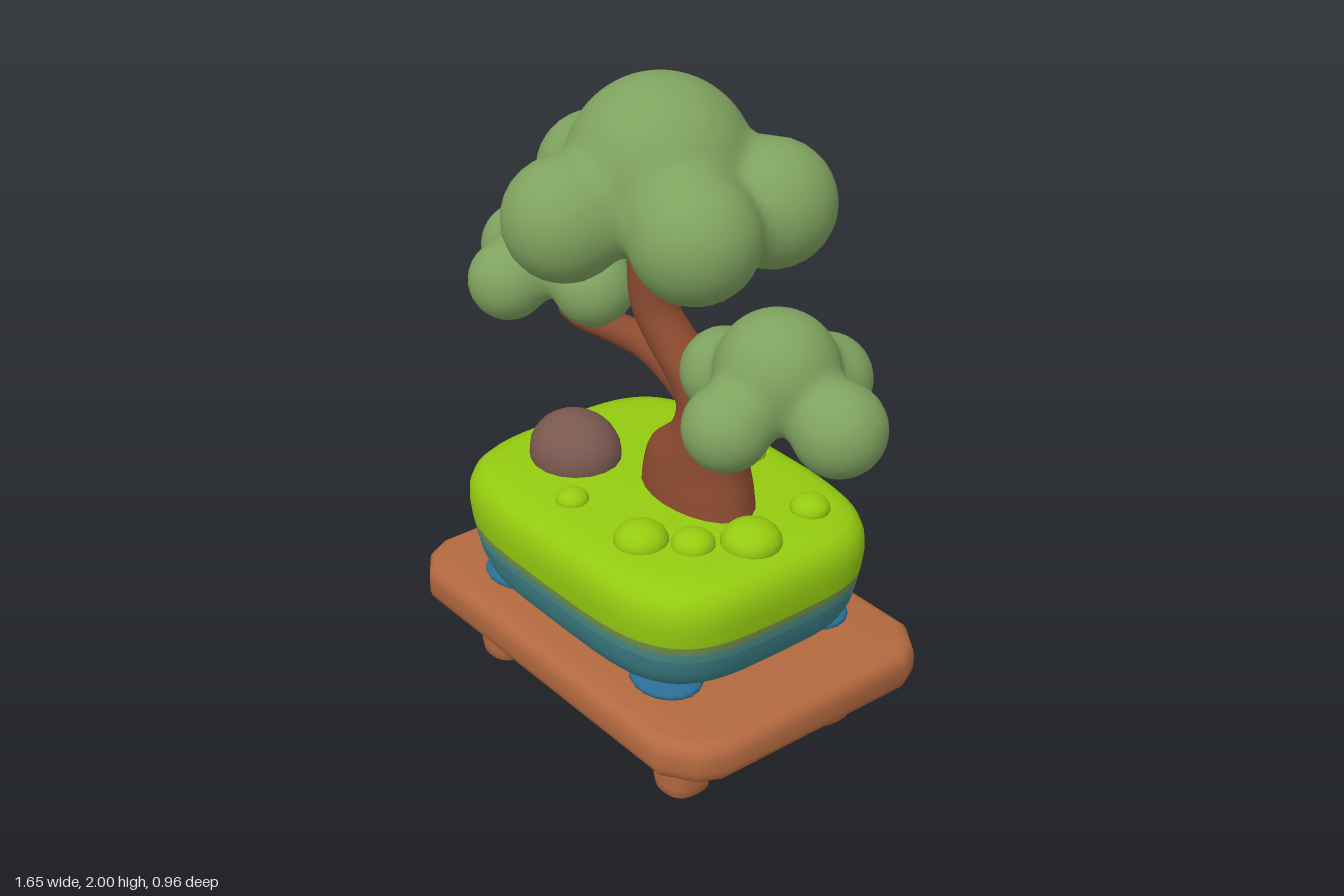
import * as THREE from 'three';
import { mergeVertices, toCreasedNormals } from 'three/addons/utils/BufferGeometryUtils.js';

const mat = (name, color) => {
  const m = new THREE.MeshStandardMaterial({ color });
  m.name = name;
  return m;
};

// Skin over rings [x, y, z, radiusU, radiusV]; rings lie flat, or upright when axis is 'x'.
// power > 2 squares the cross-section off. One material group per band between rings.
function loft(rings, { axis = 'y', power = 2, seg = 24 } = {}) {
  const pos = [], index = [];
  const geo = new THREE.BufferGeometry();
  const sq = (v) => Math.sign(v) * Math.abs(v) ** (2 / power);
  rings.forEach(([x, y, z, ru, rv], i) => {
    for (let j = 0; j < seg; j++) {
      const a = (j / seg) * Math.PI * 2;
      const u = ru * sq(Math.cos(a)), v = rv * sq(Math.sin(a));
      if (axis === 'y') pos.push(x + u, y, z + v);
      else pos.push(x, y + v, z + u);
      if (i < rings.length - 1) {
        const A = i * seg + j, B = i * seg + ((j + 1) % seg);
        index.push(A, A + seg, B, B, A + seg, B + seg);
      }
    }
  });
  geo.setAttribute('position', new THREE.Float32BufferAttribute(pos, 3));
  geo.setIndex(index);
  geo.computeVertexNormals();
  return geo;
}

// Adds smooth in-between rings
function smoothRings(rings, n) {
  const V = THREE.Vector3;
  const mid = new THREE.CatmullRomCurve3(rings.map((r) => new V(r[0], r[1], r[2])));
  const rad = new THREE.CatmullRomCurve3(rings.map((r) => new V(r[3], r[4], 0)));
  return Array.from({ length: n + 1 }, (_, i) => {
    const p = mid.getPoint(i / n), r = rad.getPoint(i / n);
    return [p.x, p.y, p.z, Math.max(r.x, 0), Math.max(r.y, 0)];
  });
}

// Softly blended ball cluster: a sphere shrunk onto the smooth union of lobes [x, y, z, r]
function foliageGeometry(centre, lobes) {
  const c = new THREE.Vector3(...centre), k = 0.05;
  const balls = lobes.map(([x, y, z, r]) => ({ p: new THREE.Vector3(x, y, z), r }));
  const field = (p) => balls.reduce((d, b) => {
    const e = p.distanceTo(b.p) - b.r;
    const h = Math.max(k - Math.abs(d - e), 0) / k;
    return Math.min(d, e) - (h * h * k) / 4;
  }, 10);
  let geo = new THREE.IcosahedronGeometry(1, 14);
  geo.deleteAttribute('uv');
  geo.deleteAttribute('normal');
  geo = mergeVertices(geo, 1e-4);
  const pos = geo.attributes.position, dir = new THREE.Vector3(), p = new THREE.Vector3();
  for (let i = 0; i < pos.count; i++) {
    dir.fromBufferAttribute(pos, i).normalize();
    let t = 1;
    for (let s = 0; s < 80; s++) {
      const d = field(p.copy(c).addScaledVector(dir, t));
      if (d < 0.0005 || t < 0.03) break;
      t -= d;
    }
    pos.setXYZ(i, p.x, p.y, p.z);
  }
  geo.computeVertexNormals();
  return geo;
}

export function createModel() {
  const model = new THREE.Group();
  model.name = 'bonsai';
  const leaf = mat('leafGreen', 0x7fa35f);
  const bark = mat('bark', 0x8c4a30);
  const wood = mat('tableWood', 0xb3693f);
  const stone = mat('stone', 0x7a5850);
  const grass = mat('grass', 0x94cb10);
  const olive = mat('oliveBand', 0x73904f);
  const lightTeal = mat('lightTealBand', 0x4b8d88);
  const teal = mat('teal', 0x3c8087);
  const blue = mat('blue', 0x2b6c94);
  const add = (name, geo, material, parent = model) => {
    const m = new THREE.Mesh(geo, material);
    m.name = name;
    parent.add(m);
    return m;
  };
  const blob = (name, material, x, y, z, rx, ry, rz) => {
    const m = add(name, new THREE.SphereGeometry(1, 18, 12), material);
    m.position.set(x, y, z);
    m.scale.set(rx, ry, rz);
  };

  // Table top with cut corners and rounded edges
  const b = 0.045, hx = 0.7 - b, hz = 0.48 - b, cut = 0.1;
  const outline = new THREE.Shape([
    [hx - cut, -hz], [hx - 0.025, -hz + 0.05], [hx, -hz + cut],
    [hx, hz - cut], [hx - 0.025, hz - 0.05], [hx - cut, hz],
    [-hx + cut, hz], [-hx + 0.025, hz - 0.05], [-hx, hz - cut],
    [-hx, -hz + cut], [-hx + 0.025, -hz + 0.05], [-hx + cut, -hz],
  ].map(([x, y]) => new THREE.Vector2(x, y)));
  const slab = new THREE.ExtrudeGeometry(outline, {
    depth: 0.13 - 2 * b, bevelEnabled: true, bevelSize: b, bevelThickness: b, bevelSegments: 4,
  });
  slab.rotateX(-Math.PI / 2);
  slab.translate(-0.01, 0.2 + b, -0.01);
  add('tableTop', toCreasedNormals(slab, 0.7), wood);

  // Four stubby legs, the back pair thicker
  for (const [x, z, r] of [[-0.45, 0.27, 0.083], [0.425, 0.27, 0.083], [-0.45, -0.28, 0.1], [0.41, -0.28, 0.1]]) {
    add('tableLeg', loft([
      [x, 0.004, z, 0, 0], [x, 0.004, z, r * 0.7, r * 0.7], [x, 0.015, z, r * 0.86, r * 0.86],
      [x, 0.045, z, r * 0.92, r * 0.92], [x, 0.22, z, r, r],
    ], { power: 2.6, seg: 20 }), wood);
  }

  // Planter: one squared body with painted bands and a grass top
  const profile = [
    [0.345, 0, 0, blue], [0.345, 0.43, 0.34, blue], [0.365, 0.485, 0.38, blue], [0.395, 0.525, 0.405, teal],
    [0.44, 0.548, 0.422, teal], [0.49, 0.56, 0.432, lightTeal], [0.52, 0.565, 0.437, olive],
    [0.545, 0.569, 0.441, grass], [0.6, 0.575, 0.447, grass], [0.645, 0.573, 0.445, grass],
    [0.68, 0.56, 0.433, grass], [0.705, 0.535, 0.41, grass], [0.717, 0.495, 0.375, grass],
    [0.722, 0.43, 0.32, grass], [0.73, 0.22, 0.17, grass], [0.735, 0, 0, grass],
  ];
  const seg = 56;
  const pot = loft(profile.map(([y, rx, rz]) => [-0.012, y, -0.01, rx, rz]), { power: 3.8, seg });
  const potMats = [blue, teal, lightTeal, olive, grass];
  profile.slice(0, -1).forEach((row, i) => pot.addGroup(i * seg * 6, seg * 6, potMats.indexOf(row[3])));
  add('planter', pot, potMats);
  for (const sx of [-1, 1]) for (const sz of [-1, 1]) {
    blob('planterFoot', blue, sx * 0.36 - 0.01, 0.35, sz * 0.28 - 0.01, 0.12, 0.03, 0.1);
  }

  // Rock and moss mounds
  blob('rock', stone, -0.3, 0.745, 0.1, 0.15, 0.125, 0.135);
  for (const [x, z, r] of [[0.2, 0.24, 0.08], [0.4, 0, 0.09], [0.31, 0.14, 0.065], [0.37, -0.25, 0.06],
    [-0.08, -0.28, 0.065], [0.02, -0.32, 0.05], [-0.1, 0.26, 0.05]]) {
    blob('moss', grass, x, 0.725, z, r, r * 0.7, r);
  }

  // Leaning trunk with a flared foot
  add('trunk', loft(smoothRings([
    [0.095, 0.7, -0.055, 0.215, 0.135], [0.095, 0.78, -0.055, 0.205, 0.128], [0.105, 0.86, -0.052, 0.185, 0.115],
    [0.155, 0.95, -0.05, 0.137, 0.1], [0.165, 1.04, -0.045, 0.118, 0.09], [0.12, 1.12, -0.035, 0.118, 0.085],
    [0.03, 1.21, -0.015, 0.095, 0.075], [-0.025, 1.31, 0.01, 0.073, 0.067], [-0.03, 1.42, 0.025, 0.067, 0.062],
    [-0.02, 1.58, 0.03, 0.062, 0.058],
  ], 40)), bark);

  // Side branches
  add('rightBranch', loft(smoothRings([
    [-0.47, 1.14, 0, 0, 0], [-0.46, 1.14, 0, 0.035, 0.035], [-0.38, 1.138, 0, 0.044, 0.042],
    [-0.22, 1.15, -0.01, 0.048, 0.047], [-0.08, 1.15, -0.02, 0.055, 0.053], [0.04, 1.11, -0.035, 0.065, 0.075],
    [0.14, 1.05, -0.045, 0.075, 0.09],
  ], 30), { axis: 'x' }), bark);
  add('leftBranch', loft(smoothRings([
    [0.15, 0.95, -0.045, 0.075, 0.11], [0.24, 0.99, -0.04, 0.065, 0.085], [0.32, 1.035, -0.035, 0.052, 0.056],
    [0.42, 1.09, -0.025, 0.045, 0.048], [0.5, 1.14, -0.02, 0.038, 0.04], [0.51, 1.145, -0.02, 0, 0],
  ], 24), { axis: 'x' }), bark);

  // Foliage clusters
  add('topFoliage', foliageGeometry([0, 1.67, 0], [
    [0, 1.735, 0.01, 0.265], [-0.265, 1.65, 0.03, 0.172], [-0.05, 1.645, 0.3, 0.175], [0.26, 1.64, 0.1, 0.183],
    [0.225, 1.65, -0.2, 0.183], [-0.13, 1.65, -0.21, 0.187],
  ]), leaf);
  add('rightFoliage', foliageGeometry([-0.5, 1.28, 0], [
    [-0.5, 1.345, 0, 0.172], [-0.695, 1.255, -0.01, 0.132], [-0.3, 1.27, 0.02, 0.122],
    [-0.5, 1.265, 0.185, 0.12], [-0.5, 1.28, -0.19, 0.132],
  ]), leaf);
  add('leftFoliage', foliageGeometry([0.49, 1.23, 0], [
    [0.49, 1.305, 0, 0.172], [0.285, 1.225, 0.01, 0.125], [0.695, 1.2, -0.04, 0.132],
    [0.5, 1.2, 0.185, 0.122], [0.48, 1.215, -0.19, 0.13],
  ]), leaf);
  return model;
}
